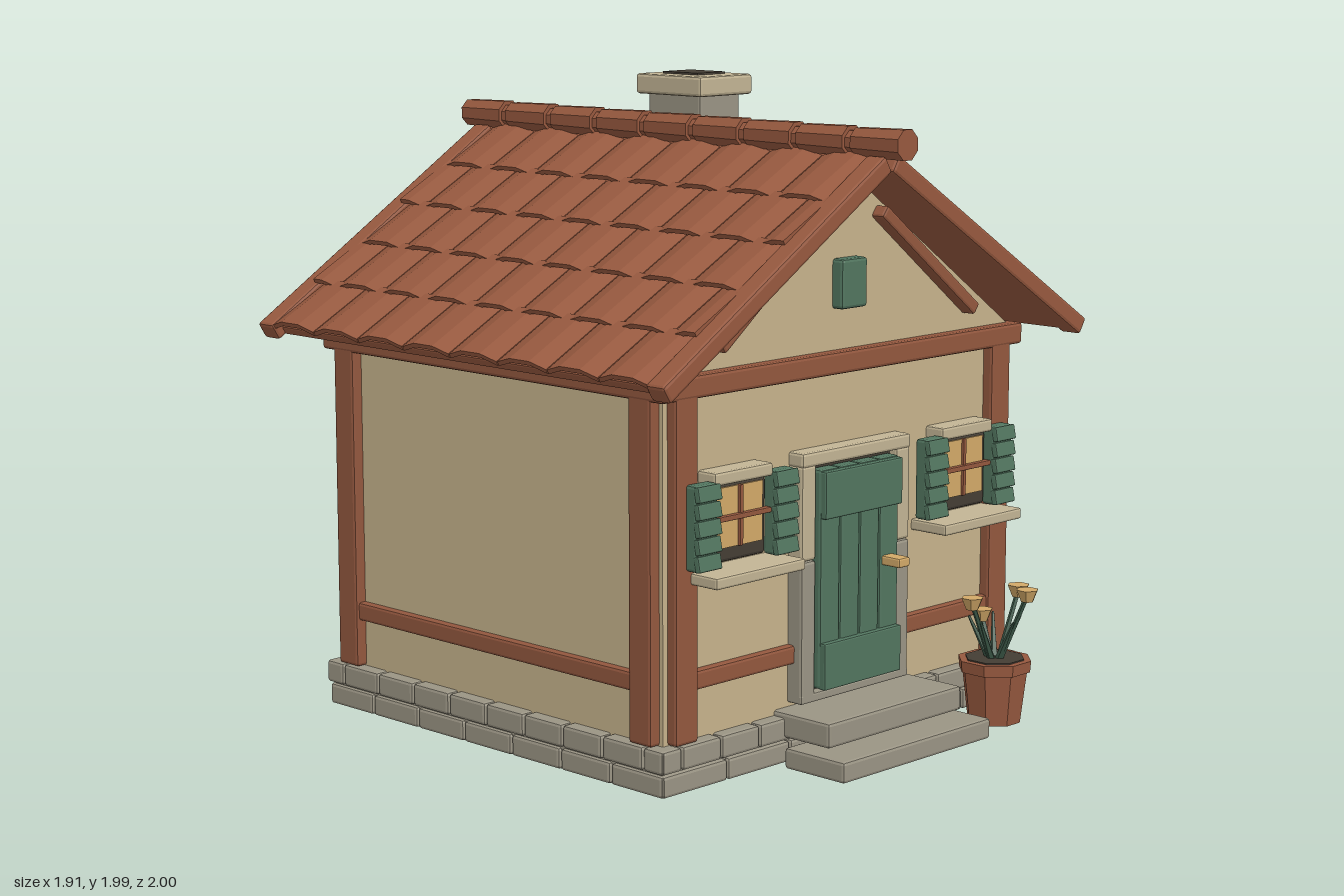
import * as THREE from 'three';
import { RoundedBoxGeometry } from 'three/addons/geometries/RoundedBoxGeometry.js';

const mat = (name, color) => {
  const m = new THREE.MeshStandardMaterial({ color });
  m.name = name;
  return m;
};

export function createModel() {
  const plaster = mat('plaster', 0xc6b38c), stone = mat('stone', 0x9a9484), trim = mat('pale stone', 0xc2b494);
  const clay = mat('clay tile', 0x97593f), timber = mat('timber', 0x92573e), green = mat('painted green', 0x52755f);
  const dark = mat('dark', 0x443d34), amber = mat('amber', 0xd2a968), stemGreen = mat('stem green', 0x3d5a49);
  const root = new THREE.Group();
  root.name = 'cottage';
  const ZC = -0.045, HX = 0.775, HZ = 0.715; // house centre and wall half sizes

  const add = (parent, name, geo, material, x = 0, y = 0, z = 0) => {
    const m = new THREE.Mesh(geo, material);
    m.name = name;
    m.position.set(x, y, z);
    parent.add(m);
    return m;
  };
  const group = (parent, name, x = 0, y = 0, z = 0) => {
    const g = new THREE.Group();
    g.name = name;
    g.position.set(x, y, z);
    parent.add(g);
    return g;
  };
  // Chamfered box given by its limits on each axis
  const block = (parent, name, material, [x0, x1], [y0, y1], [z0, z1]) => {
    const s = [x1 - x0, y1 - y0, z1 - z0];
    const geo = new RoundedBoxGeometry(...s, 1, Math.min(0.01, 0.2 * Math.min(...s)));
    geo.computeVertexNormals();
    return add(parent, name, geo, material, (x0 + x1) / 2, (y0 + y1) / 2, (z0 + z1) / 2);
  };
  const faceted = (geo) => {
    const g = geo.index ? geo.toNonIndexed() : geo;
    g.computeVertexNormals();
    return g;
  };

  // Walls with gables
  const house = group(root, 'house', 0, 0, ZC);
  const wall = new THREE.Shape([[-HX, 0.1], [HX, 0.1], [HX, 1.22], [0, 1.76], [-HX, 1.22]].map((p) => new THREE.Vector2(...p)));
  add(house, 'walls', new THREE.ExtrudeGeometry(wall, { depth: 2 * HZ, bevelEnabled: false }), plaster, 0, 0, -HZ);

  // Foundation: solid core and two staggered courses of blocks on each side
  add(house, 'foundationCore', new THREE.BoxGeometry(1.6, 0.135, 1.47), stone, 0, 0.0725, 0);
  const course = (parent, length, out, count, y0, y1, shift) => {
    const step = length / count;
    for (let i = 0; i <= count; i++) {
      const a = Math.max(-length / 2, -length / 2 + (i - shift) * step);
      const b = Math.min(length / 2, -length / 2 + (i + 1 - shift) * step);
      if (b - a > 0.02) block(parent, 'foundationBlock', stone, [a + 0.003, b - 0.003], [y0, y1], [out - 0.06, out]);
    }
  };
  // Each side is built facing +z, then turned into place
  for (let k = 0; k < 4; k++) {
    const side = group(house, ['frontSide', 'leftSide', 'backSide', 'rightSide'][k]);
    side.rotation.y = k * Math.PI / 2;
    const across = k % 2 === 0;
    const half = across ? HX : HZ, out = across ? HZ : HX;
    course(side, 2 * half + 0.07, out + 0.037, across ? 6 : 7, 0.004, 0.07, 0);
    course(side, 2 * half + 0.085, out + 0.043, across ? 10 : 9, 0.075, 0.146, 0.5);
    const face = [out - 0.02, out + 0.036];
    const px = across ? 0.71 : 0.655;
    for (const s of [-1, 1]) block(side, 'cornerPost', timber, [s * px - 0.046, s * px + 0.046], [0.146, 1.18], face);
    block(side, 'topBeam', timber, [-half - 0.037, half + 0.037], [1.152, 1.22], [out - 0.02, out + 0.038]);
    const rail = [0.296, 0.354], rz = [out - 0.02, out + 0.026];
    if (k === 0) {
      block(side, 'lowRail', timber, [-px, -0.23], rail, rz);
      block(side, 'lowRail', timber, [0.23, px], rail, rz);
    } else block(side, 'lowRail', timber, [-px, px], rail, rz);
  }

  // Gable braces and vent
  for (const s of [-1, 1]) {
    const brace = block(house, 'gableBrace', timber, [-0.28, 0.28], [-0.021, 0.021], [HZ - 0.01, HZ + 0.045]);
    brace.position.x = s * 0.352;
    brace.position.y = 1.455;
    brace.rotation.z = -s * 0.655;
  }
  block(house, 'gableVent', green, [-0.057, 0.057], [1.345, 1.495], [HZ - 0.01, HZ + 0.04]);

  // Roof: one slope along local +x, turned round for the other side
  const TW = 0.21, TH = 0.02, TT = 0.015;
  const arch = [[-0.5, 0], [-0.2, 1], [0.2, 1], [0.5, 0]];
  const tileGeo = (from, to) => {
    const inner = arch.filter(([a]) => a > from && a < to);
    const h = (a) => TH * Math.min(1, (0.5 - Math.abs(a)) / 0.3);
    const line = [from, ...inner.map((p) => p[0]), to];
    const low = line.map((a) => new THREE.Vector2(a * (TW - 0.004), h(a)));
    const high = line.map((a) => new THREE.Vector2(a * (TW - 0.004), h(a) + TT)).reverse();
    const g = new THREE.ExtrudeGeometry(new THREE.Shape([...low, ...high]), { depth: 0.238, bevelEnabled: false });
    return g.rotateY(Math.PI / 2).rotateZ(0.07);
  };
  const fullTile = tileGeo(-0.5, 0.5), halfA = tileGeo(-0.5, 0), halfB = tileGeo(0, 0.5);
  for (const s of [0, 1]) {
    const turn = group(house, s ? 'rightRoof' : 'leftRoof', 0, 1.76, 0);
    turn.rotation.y = s * Math.PI;
    const slope = group(turn, 'roofSlope');
    slope.rotation.z = -32 * Math.PI / 180;
    block(slope, 'roofBoard', clay, [0, 1.06], [0, 0.03], [-0.85, 0.85]);
    for (const e of [-1, 1]) block(slope, 'bargeBoard', clay, [0.0, 1.09], [0, 0.058], [e * 0.86 - 0.037, e * 0.86 + 0.037]);
    for (let r = 0; r < 5; r++) {
      const u = 0.2135 * r, odd = r % 2;
      for (let i = 0; i < 8 + odd; i++) {
        const z = (i - 3.5 - odd * 0.5) * TW;
        const geo = !odd || (i > 0 && i < 8) ? fullTile : i === 0 ? halfA : halfB;
        add(slope, 'roofTile', geo, clay, u - 0.008, 0.02, z);
      }
    }
  }

  // Ridge: thin core with tapered caps
  const coreGeo = faceted(new THREE.CylinderGeometry(0.037, 0.037, 1.88, 8).rotateY(Math.PI / 8).rotateX(Math.PI / 2));
  add(house, 'ridgeCore', coreGeo, clay, 0, 1.84, 0);
  const capGeo = faceted(new THREE.CylinderGeometry(0.049, 0.045, 0.188, 8).rotateY(Math.PI / 8).rotateX(Math.PI / 2));
  for (let i = 0; i < 9; i++) add(house, 'ridgeCap', capGeo, clay, 0, 1.842, (i - 4) * 0.2145);

  // Chimney
  const chimney = group(root, 'chimney', 0.312, 0, -0.262);
  block(chimney, 'chimneyShaft', stone, [-0.092, 0.092], [1.55, 1.93], [-0.117, 0.117]);
  for (const y of [1.71, 1.82]) block(chimney, 'chimneyBand', trim, [-0.095, 0.095], [y - 0.009, y + 0.009], [-0.12, 0.12]);
  block(chimney, 'chimneyCap', trim, [-0.121, 0.121], [1.922, 1.987], [-0.147, 0.147]);
  add(chimney, 'chimneyOpening', new THREE.BoxGeometry(0.128, 0.008, 0.156), dark, 0, 1.99, 0);

  // Door, frame and handle
  const door = group(root, 'door');
  for (const s of [-1, 1]) {
    const jx = [s * 0.214 - 0.031, s * 0.214 + 0.031];
    block(door, 'lowerJamb', stone, jx, [0.18, 0.61], [0.65, 0.726]);
    block(door, 'upperJamb', trim, jx, [0.61, 0.9], [0.65, 0.726]);
  }
  block(door, 'doorLintel', trim, [-0.245, 0.245], [0.893, 0.938], [0.65, 0.728]);
  block(door, 'threshold', stone, [-0.245, 0.245], [0.175, 0.203], [0.65, 0.726]);
  add(door, 'doorRecess', new THREE.BoxGeometry(0.38, 0.7, 0.03), dark, 0, 0.548, 0.68);
  for (let i = 0; i < 4; i++) {
    const x = -0.178 + i * 0.0895;
    block(door, 'doorPlank', green, [x, x + 0.087], [0.212, 0.882], [0.69, 0.74]);
  }
  for (const y of [0.283, 0.805]) block(door, 'doorRail', green, [-0.175, 0.175], [y - 0.072, y + 0.072], [0.73, 0.757]);
  block(door, 'doorHandle', amber, [0.1, 0.15], [0.55, 0.58], [0.735, 0.81]);

  // Shuttered window facing +z
  const makeWindow = (name, x, y, z, turn) => {
    const w = group(root, name, x, y, z);
    w.rotation.y = turn;
    block(w, 'windowCasing', dark, [-0.114, 0.114], [-0.122, 0.108], [-0.01, 0.045]);
    for (const sx of [-1, 1]) {
      for (const sy of [0, 1]) add(w, 'windowPane', new THREE.BoxGeometry(0.088, 0.084, 0.008), amber, sx * 0.052, -0.037 + sy * 0.094, 0.046);
      const cx = sx * 0.164;
      block(w, 'shutter', green, [cx - 0.045, cx + 0.045], [-0.127, 0.125], [0.03, 0.078]);
      for (let i = 0; i < 5; i++) {
        const slat = block(w, 'shutterSlat', green, [cx - 0.047, cx + 0.047], [-0.023, 0.023], [0.07, 0.09]);
        slat.position.y = -0.102 + i * 0.0505;
        slat.rotation.x = -0.2;
      }
    }
    block(w, 'windowBar', timber, [-0.118, 0.118], [0.002, 0.018], [0.04, 0.066]);
    block(w, 'windowMullion', timber, [-0.007, 0.007], [-0.08, 0.1], [0.04, 0.058]);
    block(w, 'windowSill', trim, [-0.188, 0.188], [-0.17, -0.135], [-0.01, 0.138]);
    block(w, 'windowLintel', trim, [-0.122, 0.122], [0.11, 0.15], [-0.01, 0.068]);
  };
  makeWindow('frontRightWindow', -0.508, 0.785, HZ + ZC, 0);
  makeWindow('frontLeftWindow', 0.508, 0.785, HZ + ZC, 0);
  makeWindow('sideWindow', HX, 0.805, 0.11, Math.PI / 2);

  // Door steps
  block(root, 'lowerStep', stone, [-0.34, 0.34], [0.005, 0.07], [0.745, 0.98]);
  block(root, 'upperStep', stone, [-0.305, 0.305], [0.085, 0.162], [0.66, 0.89]);

  // Flower pot
  const pot = group(root, 'flowerPot', 0.525, 0, 0.845);
  const potPart = (name, rt, rb, h, material, y) =>
    add(pot, name, faceted(new THREE.CylinderGeometry(rt, rb, h, 8).rotateY(Math.PI / 8)), material, 0, y, 0);
  potPart('potBody', 0.106, 0.085, 0.17, clay, 0.085);
  potPart('potRim', 0.118, 0.115, 0.036, clay, 0.183);
  potPart('soil', 0.095, 0.095, 0.008, dark, 0.201);
  const stalk = (name, tip, r0, r1) => {
    const a = new THREE.Vector3(tip[0] * 0.15, 0.19, tip[2] * 0.15), b = new THREE.Vector3(...tip);
    const d = b.clone().sub(a);
    const m = add(pot, name, faceted(new THREE.CylinderGeometry(r1, r0, d.length(), 5)), stemGreen);
    m.position.copy(a).addScaledVector(d, 0.5);
    m.quaternion.setFromUnitVectors(new THREE.Vector3(0, 1, 0), d.normalize());
  };
  const petals = faceted(new THREE.CylinderGeometry(0.036, 0.02, 0.038, 6));
  for (const tip of [[0.005, 0.42, 0.12], [-0.115, 0.395, 0.0], [0.108, 0.4, 0.005], [0.02, 0.325, -0.07]]) {
    stalk('flowerStem', tip, 0.009, 0.008);
    add(pot, 'flowerHead', petals, amber, ...tip);
  }
  for (let i = 0; i < 5; i++) {
    const a = i * 1.257 + 0.5;
    stalk('leaf', [0.085 * Math.cos(a), 0.33, 0.085 * Math.sin(a)], 0.013, 0.004);
  }
  return root;
}
